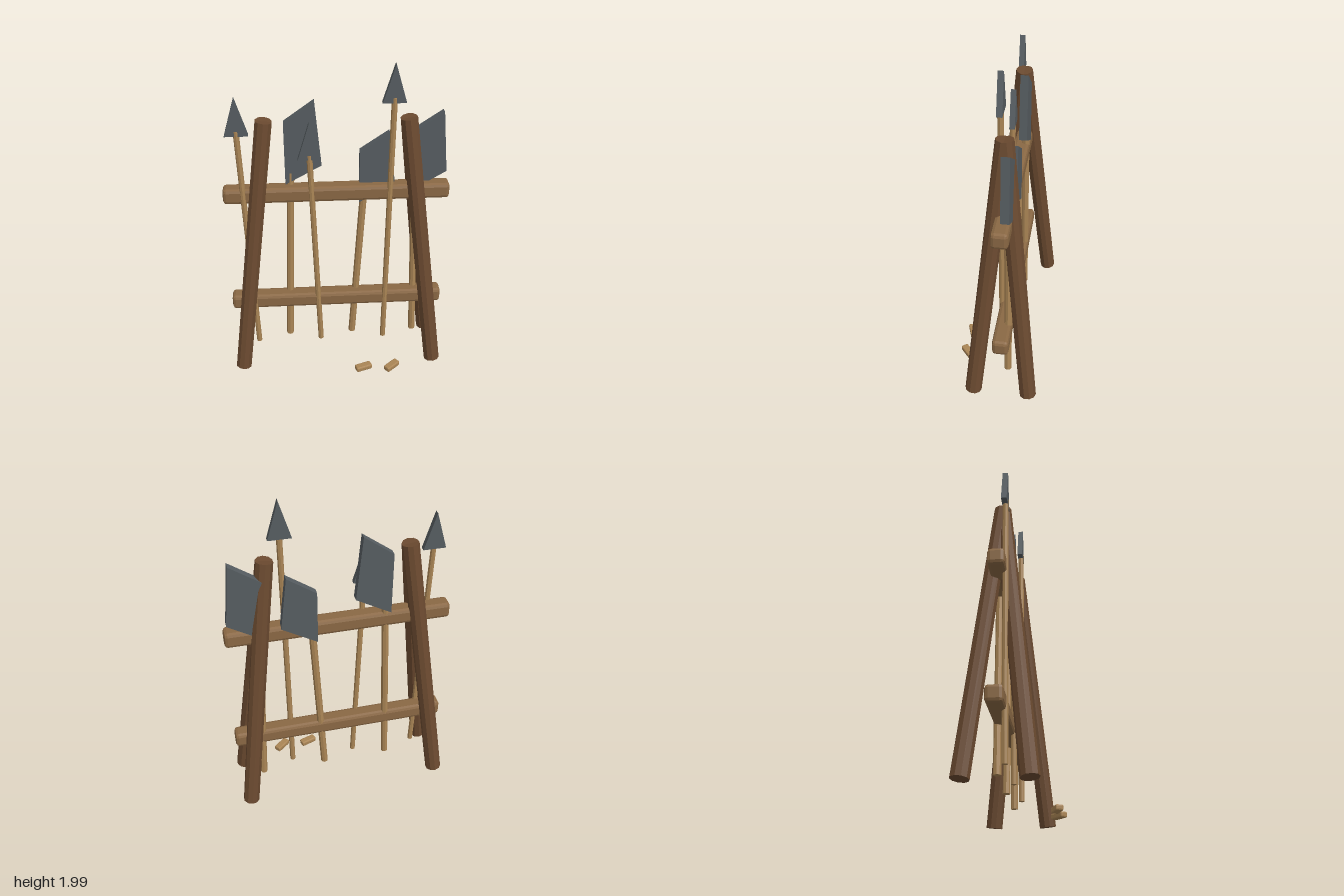
import * as THREE from 'three';
import { RoundedBoxGeometry } from 'three/addons/geometries/RoundedBoxGeometry.js';

const mat = (color) => new THREE.MeshStandardMaterial({ color, flatShading: true });

export function createModel() {
  const rack = new THREE.Group();
  rack.name = 'weaponRack';
  const darkWood = mat(0x6b4a30), railWood = mat(0x8a6844), paleWood = mat(0xaa8555), iron = mat(0x565d61);

  const add = (name, geometry, material, parent = rack) => {
    const mesh = new THREE.Mesh(geometry, material);
    mesh.name = name;
    parent.add(mesh);
    return mesh;
  };

  // Straight pole between two points
  const pole = (name, from, to, radius, sides, material, parent) => {
    const a = new THREE.Vector3(...from), b = new THREE.Vector3(...to);
    const dir = b.clone().sub(a);
    const mesh = add(name, new THREE.CylinderGeometry(radius, radius, dir.length(), sides), material, parent);
    mesh.position.copy(a).add(b).multiplyScalar(0.5);
    mesh.quaternion.setFromUnitVectors(new THREE.Vector3(0, 1, 0), dir.normalize());
    return mesh;
  };

  // Flat plate from an outline, centred on a depth
  const plate = (name, points, depth, z, parent) => {
    const shape = new THREE.Shape(points.map(([x, y]) => new THREE.Vector2(x, y)));
    const geometry = new THREE.ExtrudeGeometry(shape, { depth, bevelEnabled: false });
    return add(name, geometry.translate(0, 0, z - depth / 2), iron, parent);
  };

  // Two leaning pairs of legs
  for (const side of [-1, 1]) {
    for (const footZ of [0.127, -0.207]) {
      pole(footZ > 0 ? 'frontLeg' : 'backLeg', [side * 0.617, 0.017, footZ],
        [side * 0.408, 1.667, -0.04], 0.05, 10, darkWood);
    }
  }

  // Chamfered cross rails
  for (const [name, y] of [['lowerRail', 0.428], ['upperRail', 1.206]]) {
    add(name, new RoundedBoxGeometry(1.335, 0.096, 0.096, 1, 0.02), railWood).position.set(0, y, -0.045);
  }

  // Spears: foot x, neck x, neck y
  for (const [footX, neckX, neckY] of [[-0.514, -0.561, 1.6], [-0.106, -0.158, 1.44], [0.304, 0.316, 1.775]]) {
    const spear = new THREE.Group();
    spear.name = 'spear';
    rack.add(spear);
    pole('spearShaft', [footX, 0.11, -0.005], [neckX, neckY + 0.03, -0.005], 0.017, 8, paleWood, spear);
    plate('spearHead', [[neckX - 0.067, neckY], [neckX + 0.067, neckY], [neckX, neckY + 0.223]], 0.032, -0.008, spear);
  }

  // Axes: shaft foot x, shaft top, blade outline
  const axes = [
    [-0.31, [-0.268, 1.33], [[-0.3, 1.256], [-0.087, 1.375], [-0.124, 1.77], [-0.3, 1.643]]],
    [0.103, [0.165, 1.22], [[0.135, 1.12], [0.345, 1.245], [0.305, 1.572], [0.135, 1.455]]],
    [0.508, [0.465, 1.27], [[0.435, 1.185], [0.648, 1.315], [0.61, 1.69], [0.435, 1.57]]],
  ];
  for (const [footX, [topX, topY], outline] of axes) {
    const axe = new THREE.Group();
    axe.name = 'axe';
    rack.add(axe);
    pole('axeShaft', [footX, 0.11, -0.07], [topX, topY, -0.07], 0.022, 8, paleWood, axe);
    plate('axeBlade', outline, 0.046, -0.073, axe);
  }

  // Loose wood chips on the ground
  for (const [x, angle] of [[0.158, 0.33], [0.342, 0.7]]) {
    const chip = add('woodChip', new RoundedBoxGeometry(0.106, 0.034, 0.046, 1, 0.008), paleWood);
    chip.position.set(x, 0.031, 0.21);
    chip.rotation.y = angle;
  }

  return rack;
}
